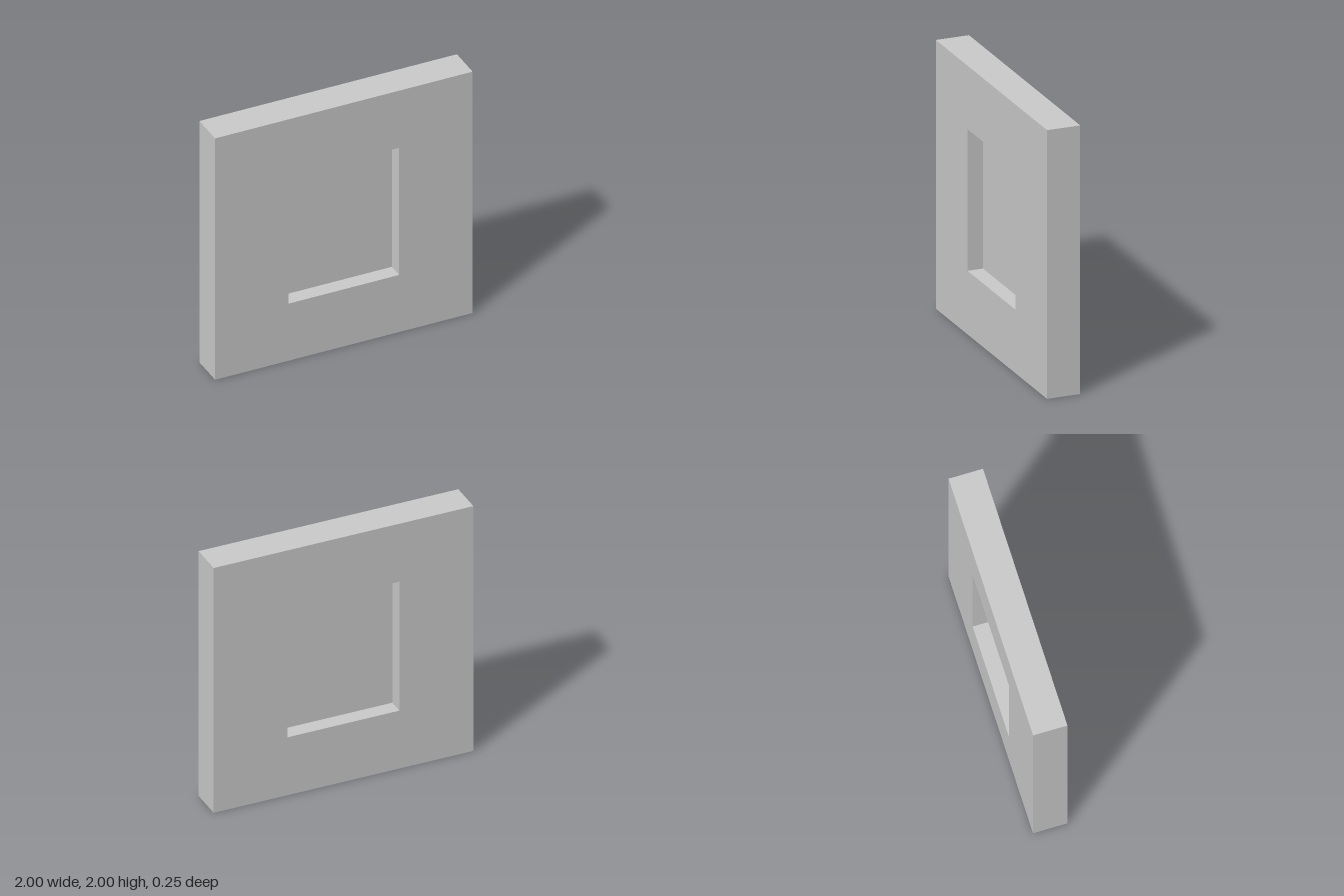
import * as THREE from 'three';

const SIZE = 2, DEPTH = 0.252;
const OPEN_W = 0.86, OPEN_H = 1.054, PANE_DEPTH = 0.016;

// Corners of a rectangle centred on x = 0, y = 1
function rectangle(w, h) {
  return [[-1, -1], [1, -1], [1, 1], [-1, 1]].map(
    ([sx, sy]) => new THREE.Vector2(sx * w / 2, SIZE / 2 + sy * h / 2));
}

export function createModel() {
  const group = new THREE.Group();
  group.name = 'wallWithWindow';
  const material = new THREE.MeshStandardMaterial({ color: 0xcccccc, flatShading: true });

  // Square wall panel with a rectangular window opening
  const outline = new THREE.Shape(rectangle(SIZE, SIZE));
  outline.holes.push(new THREE.Path(rectangle(OPEN_W, OPEN_H).reverse()));
  const wallGeometry = new THREE.ExtrudeGeometry(outline, { depth: DEPTH, bevelEnabled: false });
  wallGeometry.translate(0, 0, -DEPTH / 2);
  const wall = new THREE.Mesh(wallGeometry, material);
  wall.name = 'wall';

  // Thin pane set midway through the opening, recessed on both sides
  const pane = new THREE.Mesh(new THREE.BoxGeometry(OPEN_W, OPEN_H, PANE_DEPTH), material);
  pane.name = 'windowPane';
  pane.position.y = SIZE / 2;

  group.add(wall, pane);
  return group;
}
